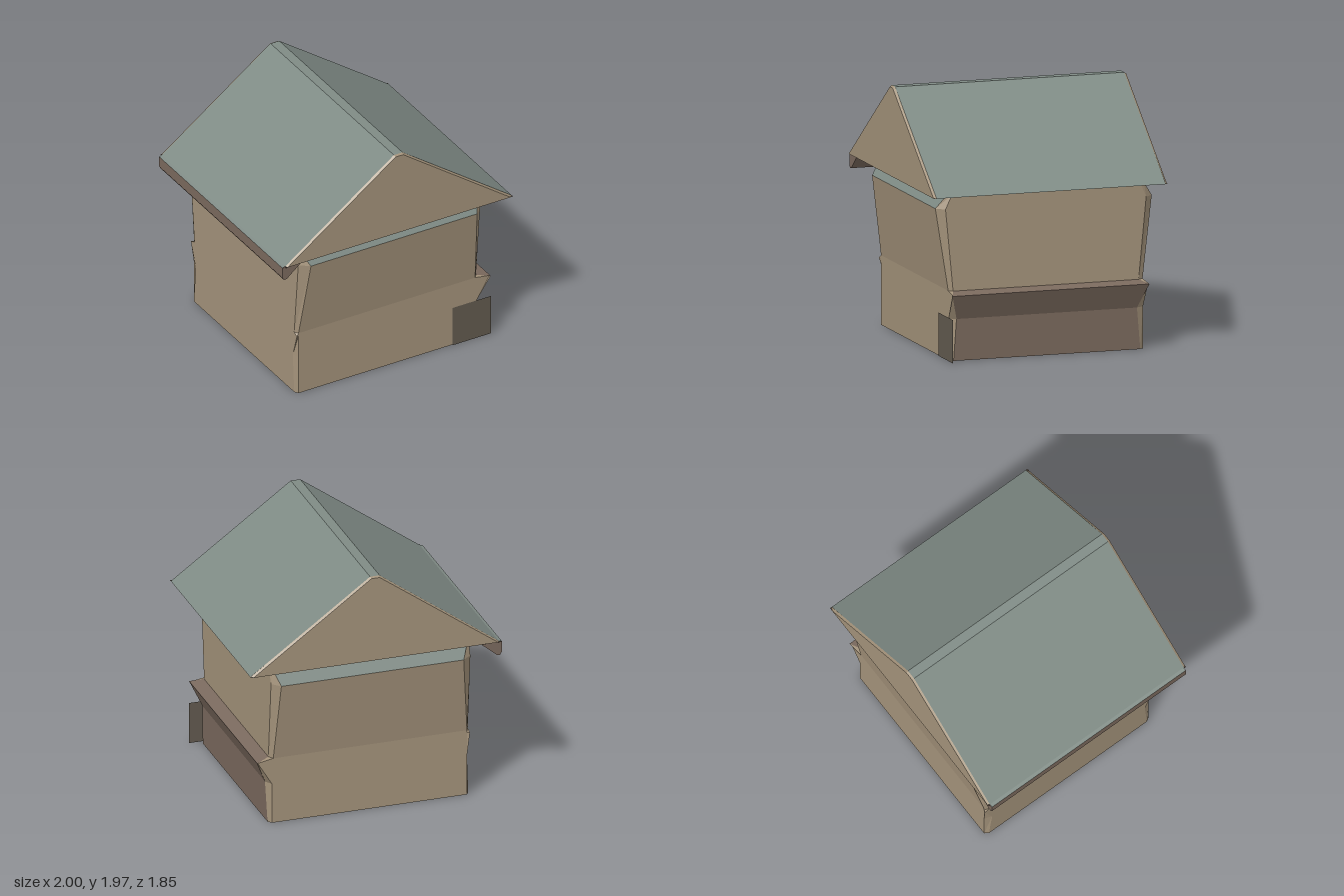
import * as THREE from 'three';

const BEIGE = 0xa3927a, TEAL = 0x7f8b85, BROWN = 0x7b6a5e, DARK = 0x54483f, PANEL = 0x625a4f;

// Flat-shaded mesh from polygons (each a list of [x, y, z] corners in order)
function faces(name, color, polys) {
  const pos = [];
  for (const p of polys) {
    for (let i = 1; i < p.length - 1; i++) pos.push(...p[0], ...p[i], ...p[i + 1]);
  }
  const geo = new THREE.BufferGeometry();
  geo.setAttribute('position', new THREE.Float32BufferAttribute(pos, 3));
  geo.computeVertexNormals();
  const mat = new THREE.MeshStandardMaterial({ color, flatShading: true, side: THREE.DoubleSide });
  const mesh = new THREE.Mesh(geo, mat);
  mesh.name = name;
  return mesh;
}

// Eight-sided wall ring with chamfered corners, counter-clockwise from above
function ring([y, zF, zB, faceL, faceR, xL, xR, sideF, sideB]) {
  return [
    [faceL, y, zF], [faceR, y, zF], [xR, y, sideF], [xR, y, sideB],
    [faceR, y, zB], [faceL, y, zB], [xL, y, sideB], [xL, y, sideF],
  ];
}

function createBody() {
  // y, front z, back z, front face x range, side x range, side face z range
  const rings = [
    [0, 0.74, -0.80, -0.76, 0.785, -0.78, 0.81, 0.71, -0.77],
    [0.32, 0.74, -0.80, -0.76, 0.785, -0.78, 0.82, 0.69, -0.74],
    [0.51, 0.74, -0.80, -0.76, 0.90, -0.78, 0.905, 0.75, -0.81],
    [0.53, 0.74, -0.80, -0.76, 0.775, -0.78, 0.80, 0.71, -0.76],
    [1.155, 0.83, -0.885, -0.705, 0.74, -0.78, 0.80, 0.77, -0.82],
    [1.262, 0.75, -0.81, -0.76, 0.78, -0.78, 0.80, 0.72, -0.775],
  ].map(ring);

  const walls = [], ledge = [], coves = [];
  for (let r = 0; r < rings.length - 1; r++) {
    const a = rings[r], b = rings[r + 1];
    for (let i = 0; i < 8; i++) {
      const j = (i + 1) % 8;
      const quad = [a[i], a[j], b[j], b[i]];
      if (i === 2 && r < 3) ledge.push(quad);                        // skirt and ledge on the left wall
      else if ((i === 0 || i === 4) && r === 4) coves.push(quad);    // sloped band under the gables
      else walls.push(quad);
    }
  }
  const body = new THREE.Group();
  body.name = 'body';
  body.add(faces('walls', BEIGE, walls), faces('ledge', BROWN, ledge), faces('gableCoves', TEAL, coves));
  return body;
}

function createRoof() {
  const Z = 0.908, END = 0.925;
  // Outer profile from the lip on one eave over the ridge to the other eave
  const profile = [[-1, 1.275], [-0.975, 1.282], [-0.03, 1.965], [0.045, 1.965], [0.995, 1.28]];
  const lip = [[-0.84, 1.268], [-0.96, 1.168], [-0.985, 1.165], [-1, 1.19], [-1, 1.275]];
  const inset = [[-0.965, 1.278], [-0.025, 1.955], [0.04, 1.955], [0.975, 1.278]];
  const at = (p, z) => [p[0], p[1], z];

  // Swept strips along z
  const strips = (pts) => pts.slice(1).map((p, i) => [at(pts[i], Z), at(p, Z), at(p, -Z), at(pts[i], -Z)].reverse());
  const roof = new THREE.Group();
  roof.name = 'roof';
  roof.add(faces('roofPanels', TEAL, strips(profile)));
  roof.add(faces('eaveLip', BROWN, [
    ...strips(lip), lip.map((p) => at(p, Z)).reverse(), lip.map((p) => at(p, -Z)),
  ]));

  // Gables with a narrow bevel to the roof panels
  const gables = [];
  for (const s of [1, -1]) {
    const wind = (poly) => (s > 0 ? poly : poly.reverse());
    gables.push(wind([...inset].reverse().map((p) => at(p, s * END))));
    for (let i = 0; i < 3; i++) {
      gables.push(wind([
        at(inset[i], s * END), at(inset[i + 1], s * END),
        at(profile[i + 2], s * Z), at(profile[i + 1], s * Z),
      ].reverse()));
    }
  }
  roof.add(faces('gables', BEIGE, gables));

  // Shallow sloping soffit from the eaves in to the wall tops
  const outer = [[-0.98, 1.278, END], [0.995, 1.28, END], [0.995, 1.28, -END], [-0.98, 1.278, -END]];
  const inner = [[-0.78, 1.26, 0.75], [0.80, 1.26, 0.75], [0.80, 1.26, -0.81], [-0.78, 1.26, -0.81]];
  roof.add(faces('soffit', DARK, outer.map((p, i) => {
    const j = (i + 1) % 4;
    return [p, inner[i], inner[j], outer[j]];
  })));
  return roof;
}

export function createModel() {
  const model = new THREE.Group();
  model.name = 'house';
  model.add(createBody(), createRoof());

  // Flat board standing at the front corner
  const board = new THREE.Mesh(
    new THREE.PlaneGeometry(0.335, 0.33),
    new THREE.MeshStandardMaterial({ color: PANEL, side: THREE.DoubleSide }),
  );
  board.name = 'cornerBoard';
  board.position.set(0.74, 0.165, 0.748);
  model.add(board);
  return model;
}
